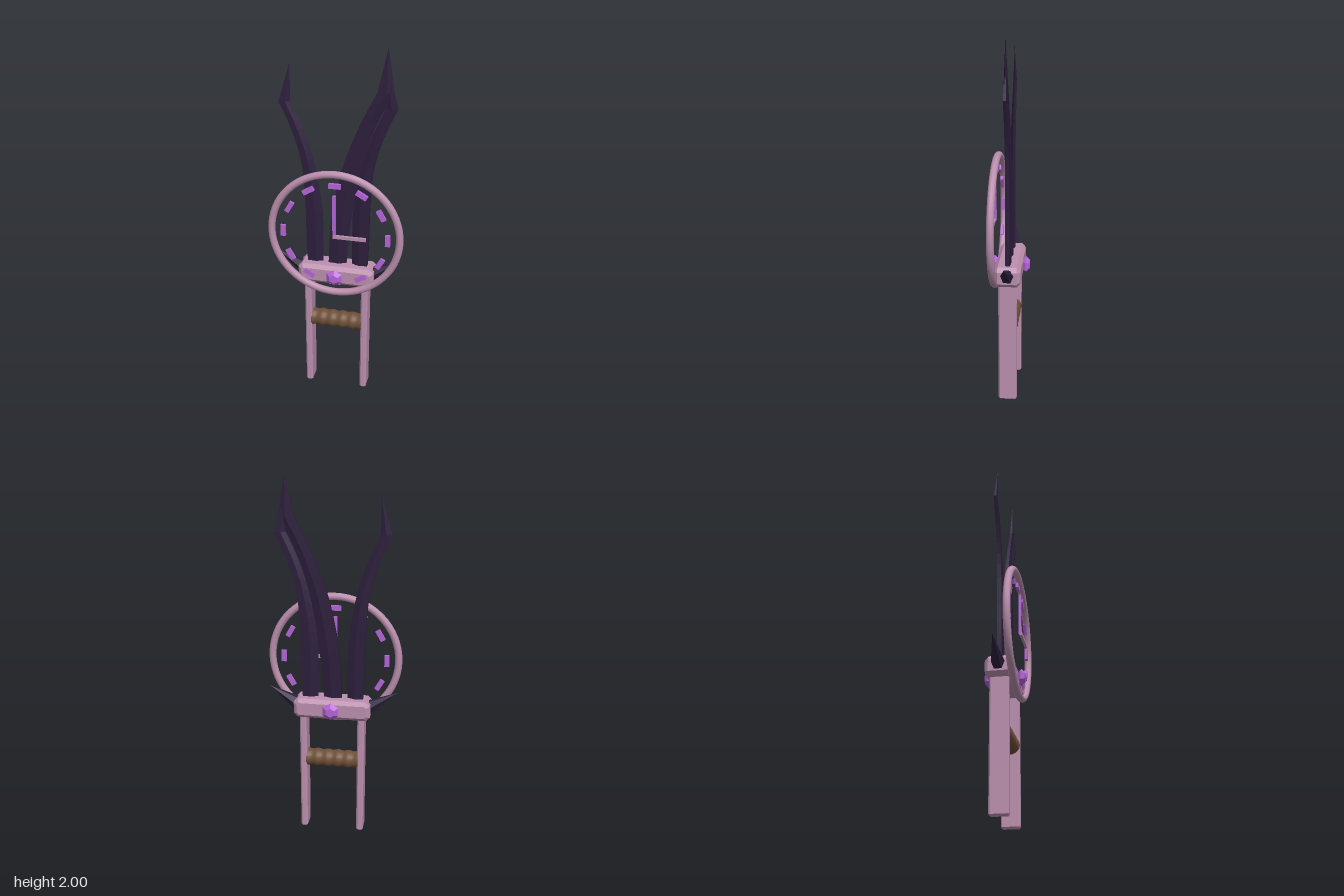
import * as THREE from 'three';

const mat = (color, flatShading = true) => new THREE.MeshStandardMaterial({ color, flatShading });
const pink = mat(0xbb8fae), pinkSmooth = mat(0xbb8fae, false);
const dark = mat(0x2d1f3d), violet = mat(0xb565d8), wood = mat(0x6e5038, false);

function add(parent, name, geometry, material, x = 0, y = 0, z = 0) {
  const mesh = new THREE.Mesh(geometry, material);
  mesh.name = name;
  mesh.position.set(x, y, z);
  parent.add(mesh);
  return mesh;
}

// Box with all its edges cut at 45 degrees
function chamferBox(w, h, d, c) {
  const x = w / 2 - c, y = h / 2 - c, k = c * 0.5;
  const shape = new THREE.Shape([
    [x - k, -y], [x, k - y], [x, y - k], [x - k, y],
    [k - x, y], [-x, y - k], [-x, k - y], [k - x, -y],
  ].map(([a, b]) => new THREE.Vector2(a, b)));
  const geo = new THREE.ExtrudeGeometry(shape, {
    depth: d - 2 * c, bevelEnabled: true, bevelThickness: c, bevelSize: c, bevelSegments: 1,
  });
  return geo.translate(0, 0, c - d / 2);
}

// Curved blade: rows of [blunt edge x, sharp edge x, y], then a straight point
function bladeGeometry(rows, tipX, tipY) {
  const curve = new THREE.CatmullRomCurve3(rows.map(([a, b, y]) => new THREE.Vector3(a, y, b)));
  const sections = curve.getPoints(16).map((p) => [p.x, p.z, p.y]);
  sections.push([tipX, tipX, tipY]);
  const pos = [], index = [], n = 5;
  for (const [a, b, y] of sections) {
    const t = y === tipY ? 0 : 0.016 - 0.006 * Math.max(0, (y - 1.2) / 0.5);
    const m = a + (b - a) * 0.55;
    pos.push(a, y, t * 0.75, m, y, t, b, y, 0, m, y, -t, a, y, -t * 0.75);
  }
  const flip = rows[0][0] < rows[0][1];
  for (let i = 0; i < sections.length - 1; i++) {
    for (let j = 0; j < n; j++) {
      const a = i * n + j, b = i * n + (j + 1) % n;
      if (flip) index.push(a, b, b + n, a, b + n, a + n);
      else index.push(b, a, a + n, b, a + n, b + n);
    }
  }
  const geo = new THREE.BufferGeometry();
  geo.setAttribute('position', new THREE.Float32BufferAttribute(pos, 3));
  geo.setIndex(index);
  geo.computeVertexNormals();
  return geo;
}

export function createModel() {
  const model = new THREE.Group();
  model.name = 'punchDagger';

  // Guard and the two side rails
  add(model, 'guard', chamferBox(0.42, 0.11, 0.142, 0.02), pink, 0, 0.747, 0);
  for (const s of [-1, 1]) {
    add(model, s > 0 ? 'leftRail' : 'rightRail', chamferBox(0.038, 0.71, 0.1, 0.008), pink, s * 0.16, 0.355, 0);
  }

  // Wrapped grip between the rails
  const profile = [];
  for (let i = 0; i <= 40; i++) {
    const u = i / 40;
    profile.push(new THREE.Vector2(0.048 + 0.003 * Math.cos(u * Math.PI * 10), (u - 0.5) * 0.29));
  }
  add(model, 'grip', new THREE.LatheGeometry(profile, 20), wood, 0, 0.43, 0).rotation.z = Math.PI / 2;

  // Three blades: an outer pair and a longer middle one
  const side = [[0.165, 0.08, 0.76], [0.172, 0.08, 0.95], [0.174, 0.084, 1.13],
    [0.192, 0.125, 1.38], [0.24, 0.178, 1.55], [0.305, 0.245, 1.7]];
  const middle = [[-0.05, 0.047, 0.76], [-0.042, 0.062, 0.95], [-0.024, 0.082, 1.13],
    [0.03, 0.125, 1.38], [0.113, 0.195, 1.6], [0.2, 0.285, 1.78]];
  add(model, 'leftBlade', bladeGeometry(side, 0.245, 1.9), dark);
  add(model, 'rightBlade', bladeGeometry(side.map(([a, b, y]) => [-a, -b, y]), -0.245, 1.9), dark);
  add(model, 'middleBlade', bladeGeometry(middle, 0.248, 2), dark);

  // Swept spikes on the guard ends
  for (const s of [-1, 1]) {
    const from = new THREE.Vector3(s * 0.18, 0.745, 0), to = new THREE.Vector3(s * 0.356, 0.85, 0);
    const dir = to.clone().sub(from), length = dir.length();
    const geo = new THREE.ConeGeometry(0.042, length, 6).translate(0, length / 2, 0);
    const spike = add(model, s > 0 ? 'leftSpike' : 'rightSpike', geo, dark, from.x, from.y, 0);
    spike.quaternion.setFromUnitVectors(new THREE.Vector3(0, 1, 0), dir.normalize());
  }

  // Faceted gems on both faces of the guard
  const gem = new THREE.LatheGeometry([[0.034, 0], [0.049, 0.018], [0.026, 0.038], [0, 0.038]]
    .map(([r, y]) => new THREE.Vector2(r, y)), 6);
  for (const s of [-1, 1]) {
    add(model, s > 0 ? 'frontGem' : 'backGem', gem, violet, 0, 0.75, s * 0.069).rotation.x = s * Math.PI / 2;
  }

  // Clock face: ring, hour marks and hands
  const clock = new THREE.Group();
  clock.name = 'clock';
  clock.position.set(0, 1.003, 0.07);
  model.add(clock);
  add(clock, 'ring', new THREE.TorusGeometry(0.349, 0.02, 10, 64), pinkSmooth);
  for (let i = 0; i < 12; i++) {
    const a = i * Math.PI / 6;
    add(clock, 'hourMark', new THREE.BoxGeometry(0.064, 0.027, 0.016), violet,
      0.285 * Math.sin(a), 0.285 * Math.cos(a), 0).rotation.z = -a;
  }
  add(clock, 'minuteHand', new THREE.BoxGeometry(0.018, 0.24, 0.014), violet, 0, 0.115, 0.012);
  add(clock, 'hourHand', new THREE.BoxGeometry(0.18, 0.018, 0.014), pink, 0.082, 0, 0.016);
  return model;
}
